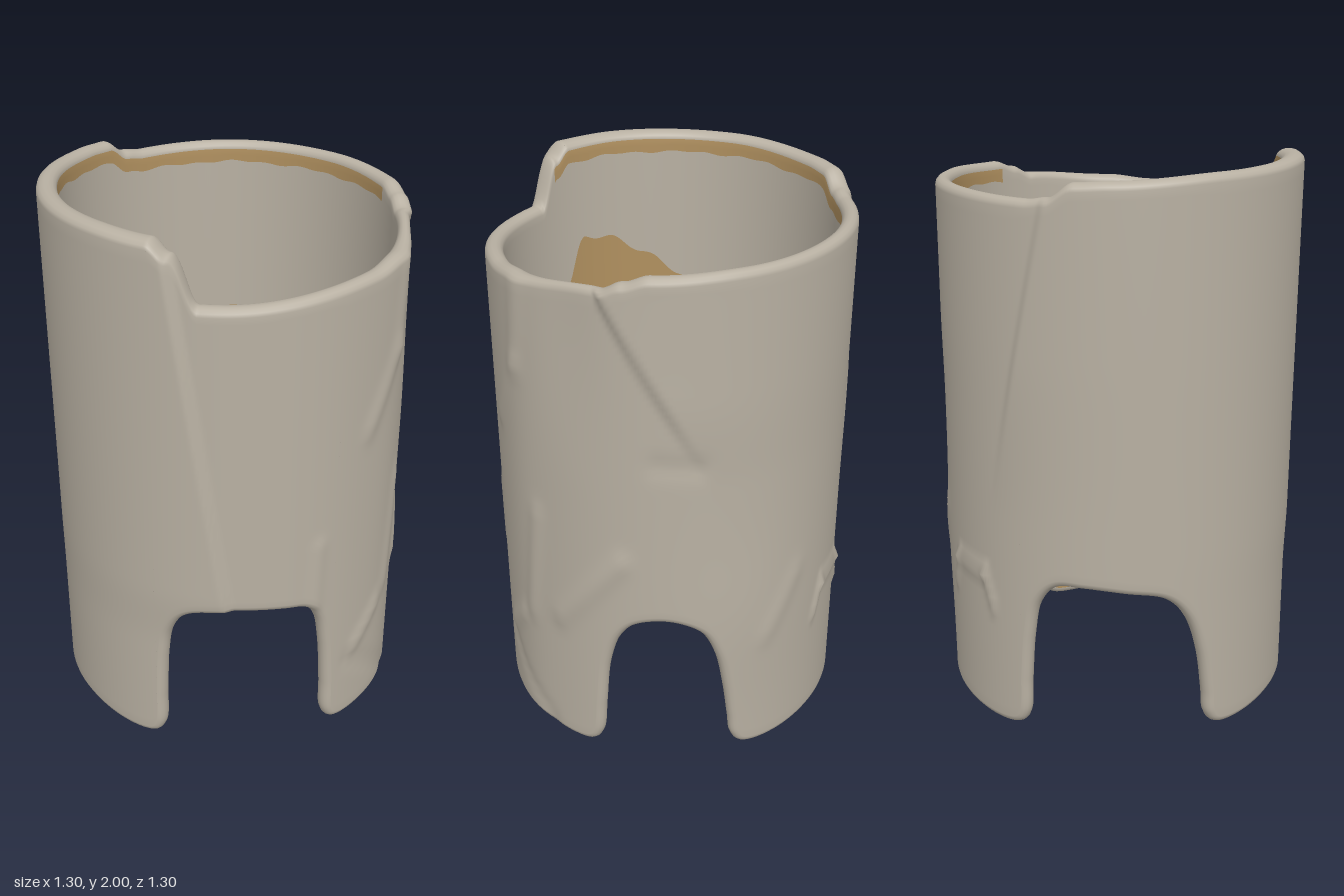
import * as THREE from 'three';

const RAD = Math.PI / 180;
const MID = 0.62;       // radius used to unroll the wall
const INNER = 0.577;
const LIP = 0.027;      // rounding of the rim and the cut edges
const COLS = 640;

// Angles in degrees: 0 is the front, 90 is +x; the wall runs from 15 round to 375.
const lowerEdge = [
  [15, 0.01], [40, 0.012], [43.5, 0.06], [45, 0.2], [47, 0.4], [51, 0.53], [56, 0.59],
  [64, 0.615], [71, 0.605], [78, 0.56], [83, 0.45], [86, 0.3], [88, 0.15], [89.3, 0.06],
  [93, 0.012], [125, 0], [158, 0.015], [161.5, 0.06], [162.5, 0.2], [164, 0.38], [167, 0.52],
  [173, 0.59], [182, 0.595], [195, 0.58], [208, 0.55], [215, 0.47], [220, 0.32], [222.5, 0.15],
  [223.5, 0.06], [227, 0.015], [256, 0.01], [286, 0.015], [289.3, 0.06], [290, 0.2],
  [291, 0.4], [293, 0.52], [298, 0.6], [307, 0.625], [330, 0.61], [338, 0.59], [342, 0.53],
  [344.5, 0.4], [346, 0.2], [346.8, 0.06], [350, 0.015], [375, 0.01],
];
const rimHeights = [
  [15, 1.825], [47, 1.85], [54, 1.88], [62, 1.905], [90, 1.915], [130, 1.92], [165, 1.915],
  [172, 1.925], [180, 1.975], [190, 1.98], [225, 1.995], [270, 2], [289, 1.995], [295, 1.95],
  [303, 1.785], [310, 1.785], [360, 1.81], [375, 1.825],
];
const glazeHeights = [
  [15, 1.2], [200, 1.25], [225, 1.36], [283, 1.62], [293, 1.45], [310, 1.2], [375, 1.2],
];

// Smooth interpolation through [position, value] pairs
function lookUp(table, x) {
  for (let i = 1; i < table.length; i++) {
    const [x0, v0] = table[i - 1], [x1, v1] = table[i];
    if (x <= x1) return v0 + (v1 - v0) * THREE.MathUtils.smoothstep(x, x0, x1);
  }
  return table[table.length - 1][1];
}

// Soft creases pressed into the clay: [angle, y, angle, y, height, width]
const creases = [
  [360, 1.24, 374, 1.5, 0.008, 0.035], [374, 1.5, 377, 1.8, 0.008, 0.04],
  [358, 0.32, 370, 0.45, 0.01, 0.03], [376, 0.5, 381, 0.95, 0.008, 0.035],
  [355, 0.28, 384, 0.04, -0.006, 0.03], [390, 0.55, 412, 0.85, 0.01, 0.04],
  [340, 0.6, 341, 0.85, 0.006, 0.03],
  [64, 1.25, 76, 1.24, -0.006, 0.04], [124, 0.45, 128, 0.565, 0.01, 0.018],
  [128, 0.565, 145, 0.565, 0.012, 0.018], [145, 0.565, 149, 0.45, 0.01, 0.018],
  [100, 0.5, 112, 0.72, 0.006, 0.04],
];
function creaseHeight(a, y) {
  let sum = 0;
  for (const [a0, y0, a1, y1, h, w] of creases) {
    const k = RAD * MID, dx = (a1 - a0) * k, dy = y1 - y0;
    // Creases over the front are numbered past the wall's end, so test both turns
    for (const turn of [0, 360]) {
      const px = (a + turn - a0) * k, py = y - y0;
      const t = THREE.MathUtils.clamp((px * dx + py * dy) / (dx * dx + dy * dy), 0, 1);
      const d = Math.hypot(px - t * dx, py - t * dy) / w;
      if (d < 3) sum += h * Math.exp(-d * d);
    }
  }
  return sum;
}

// Overlapping slab seam: a step at angle s, fading away on the raised side
function seam(a, s, side, height, fade) {
  const d = (a - s) * side;
  return height * THREE.MathUtils.smoothstep(d, -2, 1.5) * Math.exp(-Math.max(d, 0) / fade);
}

function outerRadius(a, y) {
  const step = THREE.MathUtils.smoothstep;
  let r = 0.638 + 0.007 * Math.cos((a - 275) * RAD);
  r += 0.012 * Math.exp(-(((a - 92) / 25) ** 2) - ((y - 0.58) / 0.3) ** 2);
  r += 0.008 * Math.exp(-(((a - 374) / 12) ** 2)) + 0.008 * Math.exp(-(((a - 14) / 12) ** 2));
  r -= 0.014 * Math.exp(-(((a - 36) / 12) ** 2)) * step(y, 1.1, 1.8);
  r += seam(a, 295 + (1.9 - y) * 13, -1, 0.022, 30) * step(y, 0.45, 0.7);
  r += seam(a, 172 - (1.95 - y) * 20, 1, 0.014, 25) * step(y, 0.8, 1.4);
  r += seam(a, 46 + 52 * Math.max(1.85 - y, 0), 1, 0.017, 25) * step(y, 1.15, 1.5);
  return r + creaseHeight(a, y);
}

// One closed wall section per column: up the outside, over the rim, down the inside, under the edge
function buildWall(materials) {
  const curve = new THREE.CatmullRomCurve3(
    lowerEdge.map(([a, y]) => new THREE.Vector3(a * RAD * MID, y, 0)), false, 'centripetal');
  curve.arcLengthDivisions = 2000;
  const edge = curve.getSpacedPoints(COLS);
  const positions = [], rowKinds = [];
  let rows = 0;

  for (let i = 0; i < COLS; i++) {
    const p = edge[i];
    const before = edge[Math.max(i - 2, 0)], after = edge[Math.min(i + 2, COLS)];
    const tangent = after.clone().sub(before).normalize();
    const a = p.x / (RAD * MID), top = lookUp(rimHeights, a);
    const inset = (d) => [(p.x - tangent.y * d) / (RAD * MID), Math.max(p.y + tangent.x * d, 0)];
    const [footA, footY] = inset(LIP);
    const shoulder = top - LIP;
    const column = [];

    const add = (angle, y, mix, kind) => {
      const out = outerRadius(angle, y);
      const r = THREE.MathUtils.lerp(INNER, out, mix);
      column.push([r * Math.sin(angle * RAD), y, r * Math.cos(angle * RAD), kind]);
    };
    const wall = (y, mix, kind) => {
      const t = (y - footY) / (shoulder - footY);
      add(THREE.MathUtils.lerp(footA, a, t), y, mix, kind);
    };
    const run = (y0, y1, n, mix, kind) => {
      for (let k = 0; k < n; k++) wall(THREE.MathUtils.lerp(y0, y1, k / n), mix, kind);
    };

    run(footY, shoulder, 48, 1, 'clay');
    for (let k = 0; k < 7; k++) {
      const f = Math.PI * k / 7;
      add(a, shoulder + LIP * Math.sin(f), 0.5 + 0.5 * Math.cos(f), 'clay');
    }
    const band = top - 0.075 - 0.006 * Math.sin(a * 0.35) * Math.sin(a * 0.13);
    const glaze = lookUp(glazeHeights, a) + 0.012 * Math.sin(a * 0.4);
    run(shoulder, band, 2, 0, 'band');
    run(band, glaze, 6, 0, 'clay');
    run(glaze, footY, 14, 0, 'glaze');
    for (let k = 0; k < 7; k++) {
      const f = Math.PI * k / 7;
      const [ea, ey] = inset(LIP * (1 - Math.sin(f)));
      add(ea, ey, 0.5 - 0.5 * Math.cos(f), 'clay');
    }
    rows = column.length;
    column.forEach(([x, y, z, kind], j) => { positions.push(x, y, z); rowKinds[j] = kind; });
  }

  const clay = [], glaze = [];
  for (let i = 0; i < COLS; i++) {
    const a = edge[i].x / (RAD * MID), next = (i + 1) % COLS;
    for (let j = 0; j < rows; j++) {
      const up = (j + 1) % rows;
      const A = i * rows + j, B = next * rows + j, C = next * rows + up, D = i * rows + up;
      const glazed = rowKinds[j] === 'glaze' || (rowKinds[j] === 'band' && a > 60 && a < 296);
      (glazed ? glaze : clay).push(A, B, C, A, C, D);
    }
  }
  const geometry = new THREE.BufferGeometry();
  geometry.setAttribute('position', new THREE.Float32BufferAttribute(positions, 3));
  geometry.setIndex(clay.concat(glaze));
  geometry.addGroup(0, clay.length, 0);
  geometry.addGroup(clay.length, glaze.length, 1);
  geometry.computeVertexNormals();
  return new THREE.Mesh(geometry, materials);
}

export function createModel() {
  const clay = new THREE.MeshStandardMaterial({ color: 0xb8b0a2 });
  clay.name = 'grey clay';
  const glaze = new THREE.MeshStandardMaterial({ color: 0xb0905f });
  glaze.name = 'tan inside';

  const model = new THREE.Group();
  model.name = 'clay sleeve';
  const wall = buildWall([clay, glaze]);
  wall.name = 'three-legged wall';
  model.add(wall);
  return model;
}
